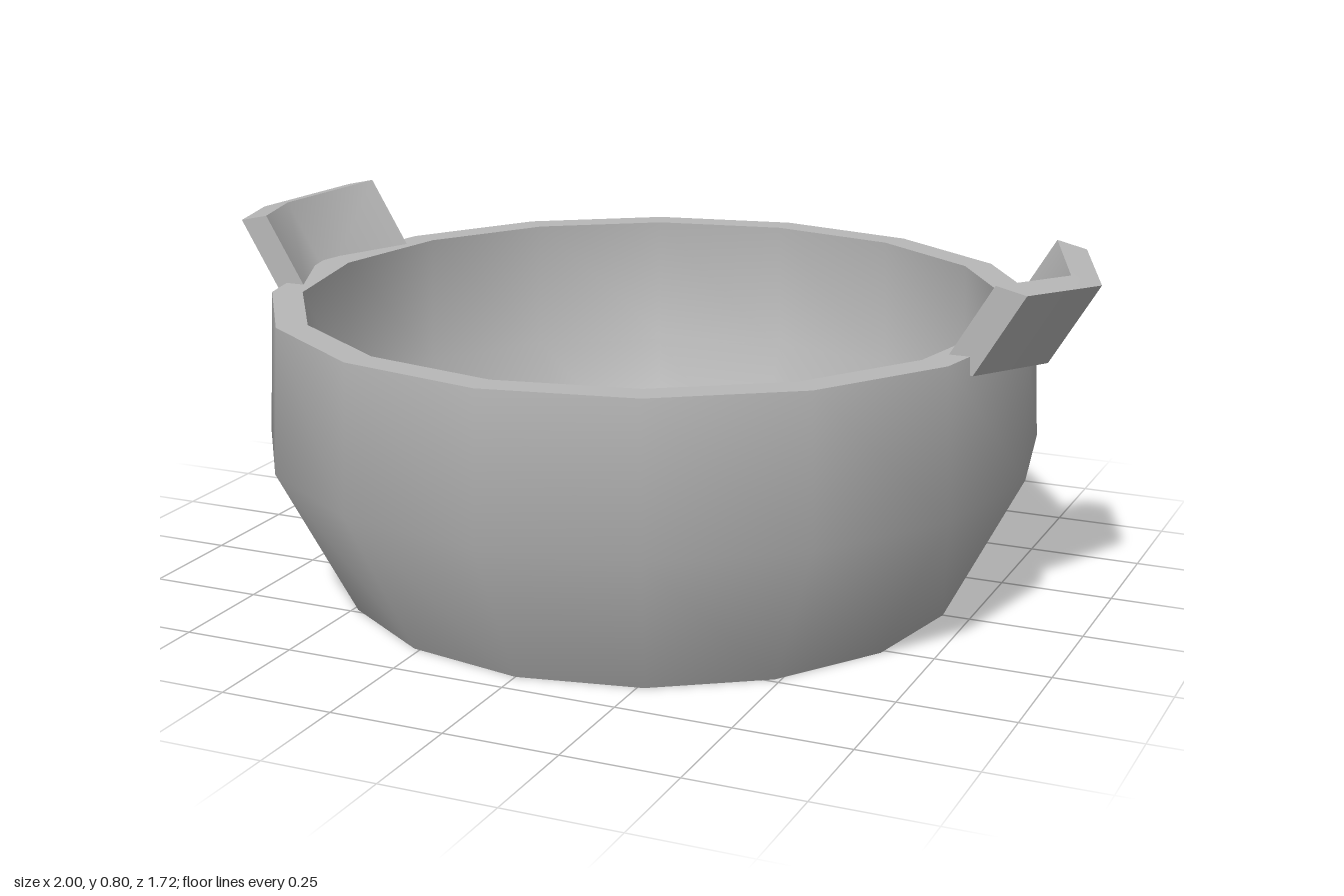
import * as THREE from 'three';

const SIDES = 16;

// Bent bar swept through three cross-sections along z; each long face is smooth, its edges sharp.
function handleGeometry() {
  const end = [[0.91, 0.785], [0.845, 0.8], [0.74, 0.626], [0.805, 0.61]];
  const bend = [0.092, -0.02]; // how far the middle section sits out and down
  const sections = [-0.235, 0, 0.235].map((z) =>
    end.map(([x, y]) => (z === 0 ? [x + bend[0], y + bend[1], 0] : [x, y, z])));
  const positions = [];
  const index = [];

  // Four long faces
  for (let i = 0; i < 4; i++) {
    const j = (i + 1) % 4;
    const base = positions.length / 3;
    for (const s of sections) positions.push(...s[i], ...s[j]);
    for (let k = 0; k < 2; k++) {
      const a = base + k * 2;
      index.push(a + 2, a, a + 1, a + 2, a + 1, a + 3);
    }
  }
  // End caps
  for (const corners of [sections[2], [...sections[0]].reverse()]) {
    const base = positions.length / 3;
    for (const c of corners) positions.push(...c);
    index.push(base, base + 1, base + 2, base, base + 2, base + 3);
  }

  const geometry = new THREE.BufferGeometry();
  geometry.setAttribute('position', new THREE.Float32BufferAttribute(positions, 3));
  geometry.setIndex(index);
  geometry.computeVertexNormals();
  return geometry;
}

export function createModel() {
  const model = new THREE.Group();
  model.name = 'pot';
  const grey = new THREE.MeshStandardMaterial({ color: 0xb8b8b8 });
  grey.name = 'grey';

  // Bowl: one lathe per surface, so edges between surfaces stay sharp
  const bowl = new THREE.Group();
  bowl.name = 'bowl';
  const surfaces = {
    base: [[0, 0], [0.69, 0]],
    outerWall: [[0.69, 0], [0.86, 0.33], [0.845, 0.65]],
    rim: [[0.845, 0.65], [0.777, 0.65]],
    innerWall: [[0.777, 0.65], [0.787, 0.345], [0.633, 0.04]],
    floor: [[0.633, 0.04], [0, 0.04]],
  };
  for (const [name, profile] of Object.entries(surfaces)) {
    const points = profile.map(([r, y]) => new THREE.Vector2(r, y));
    const mesh = new THREE.Mesh(new THREE.LatheGeometry(points, SIDES), grey);
    mesh.name = name;
    bowl.add(mesh);
  }
  model.add(bowl);

  // Handles on both sides
  const geometry = handleGeometry();
  for (const [name, turn] of [['leftHandle', 0], ['rightHandle', Math.PI]]) {
    const handle = new THREE.Mesh(geometry, grey);
    handle.name = name;
    handle.rotation.y = turn;
    model.add(handle);
  }
  return model;
}
